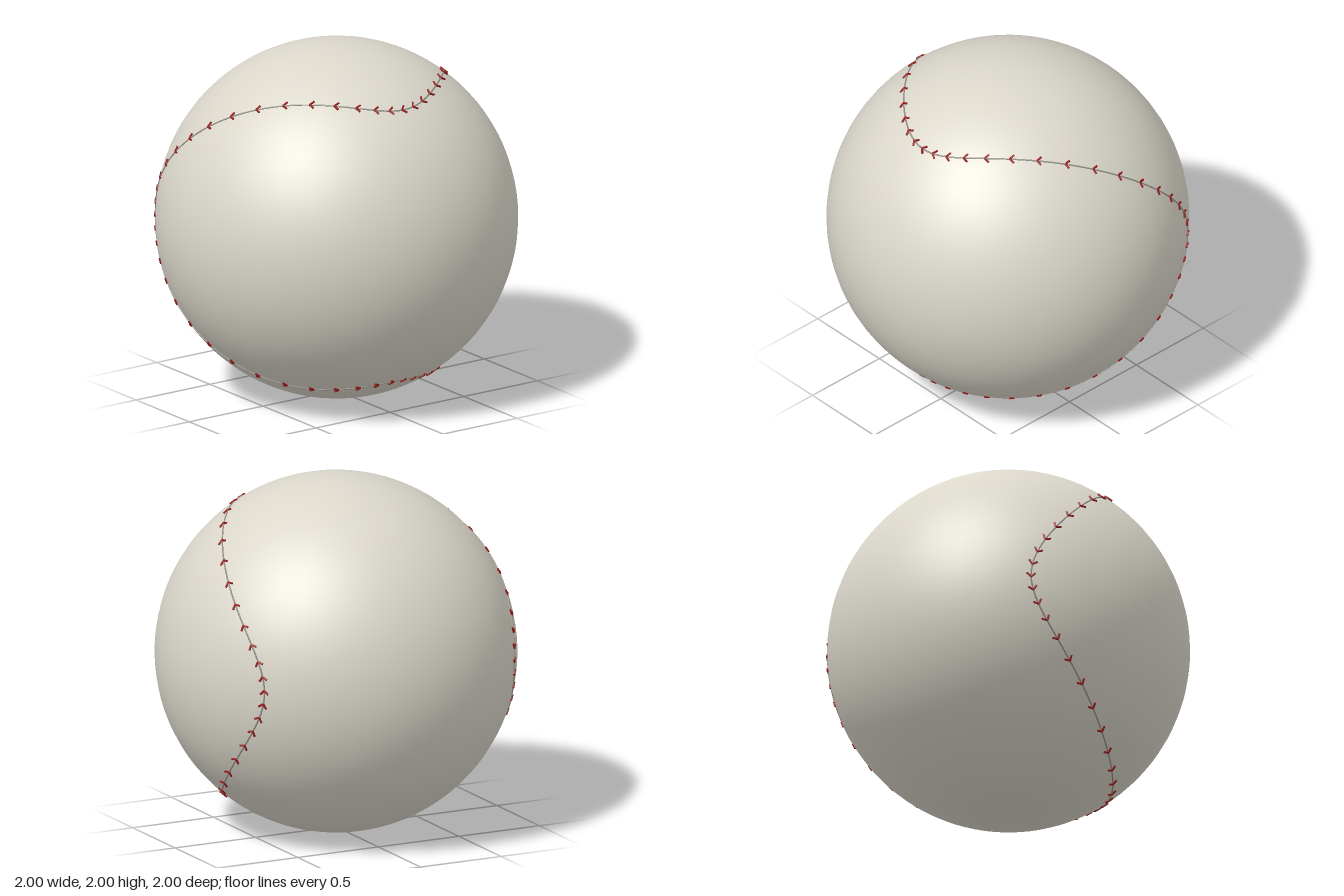
import * as THREE from 'three';
import { mergeGeometries } from 'three/addons/utils/BufferGeometryUtils.js';

const RADIUS = 0.998;
const STITCHES = 64;

// Closed seam curve lying on the ball, s runs once round from 0 to 2 PI
class SeamCurve extends THREE.Curve {
  getPoint(u, target = new THREE.Vector3()) {
    const s = u * Math.PI * 2;
    const x = 0.78 * Math.cos(2 * s) + 0.032 * Math.cos(6 * s);
    return target.set(x, Math.cos(s), Math.sin(s)).setLength(RADIUS);
  }
}

function material(name, color) {
  const m = new THREE.MeshStandardMaterial({ color });
  m.name = name;
  return m;
}

// Thin round thread between two points
function thread(from, to, radius) {
  const dir = to.clone().sub(from);
  const g = new THREE.CylinderGeometry(radius, radius, dir.length(), 6);
  const q = new THREE.Quaternion().setFromUnitVectors(new THREE.Vector3(0, 1, 0), dir.normalize());
  g.applyQuaternion(q);
  const mid = from.clone().add(to).multiplyScalar(0.5);
  return g.translate(mid.x, mid.y, mid.z);
}

export function createModel() {
  const group = new THREE.Group();
  group.name = 'ball';
  const leather = material('off-white leather', 0xdad6ca);
  const groove = material('grey seam', 0x96928a);
  const red = material('dark red thread', 0x9c1a1a);

  const add = (name, geometry, mat) => {
    const mesh = new THREE.Mesh(geometry, mat);
    mesh.name = name;
    mesh.position.y = 1;
    group.add(mesh);
  };

  // Leather cover
  add('cover', new THREE.SphereGeometry(RADIUS, 64, 48), leather);

  // Seam line
  const curve = new SeamCurve();
  add('seam', new THREE.TubeGeometry(curve, 256, 0.0045, 6, true), groove);

  // V-shaped stitches pointing along the seam
  const arms = [];
  for (let i = 0; i < STITCHES; i++) {
    const u = i / STITCHES;
    const p = curve.getPoint(u);
    const along = curve.getPoint(u + 0.001).sub(curve.getPoint(u - 0.001)).normalize();
    const across = p.clone().normalize().cross(along).normalize();
    const at = (f, w) => p.clone().addScaledVector(along, f).addScaledVector(across, w).setLength(RADIUS + 0.003);
    for (const side of [-1, 1]) arms.push(thread(at(0.012, 0), at(-0.011, side * 0.023), 0.006));
  }
  add('stitches', mergeGeometries(arms), red);

  return group;
}
